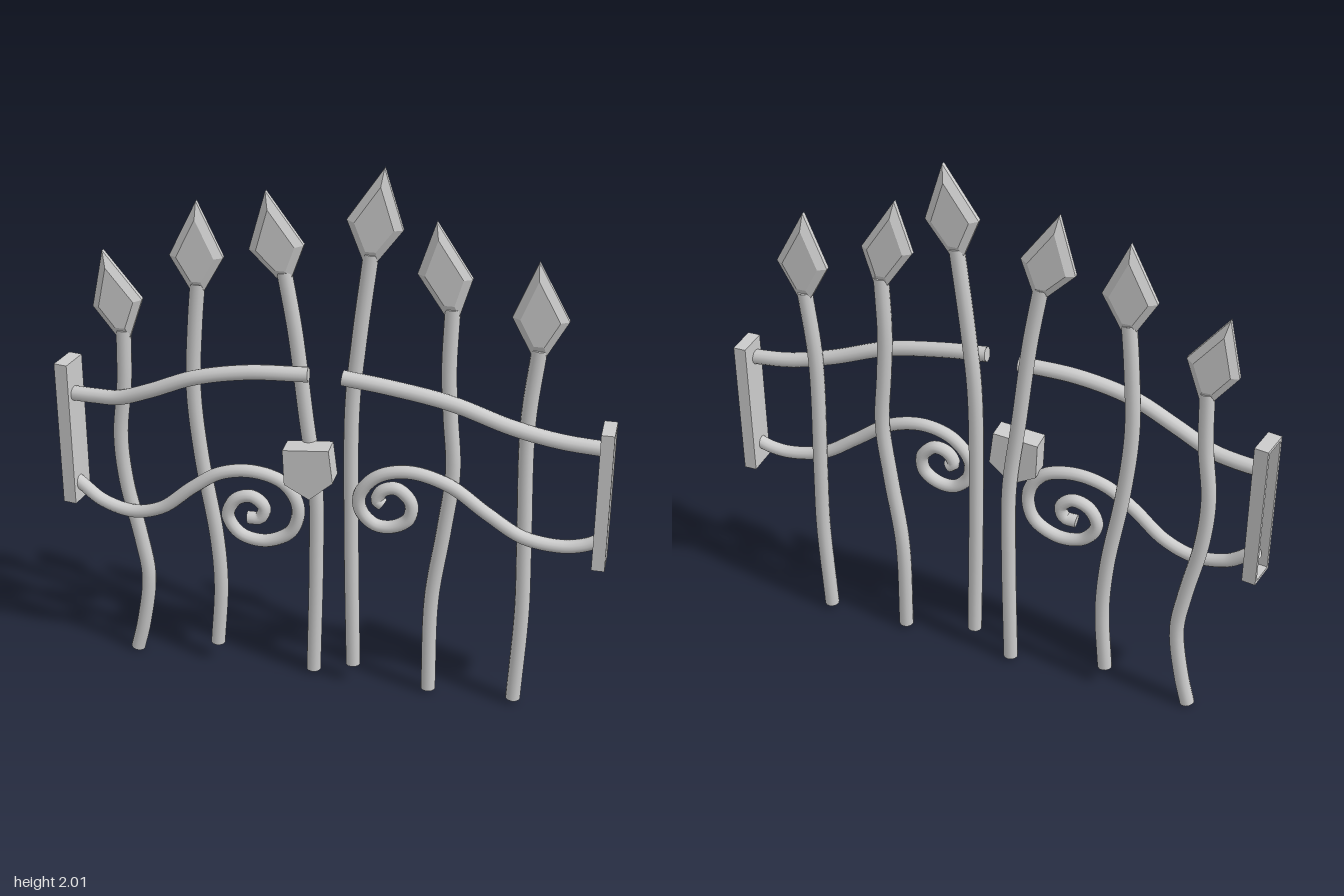
import * as THREE from 'three';
import { mergeGeometries } from 'three/addons/utils/BufferGeometryUtils.js';
import { ConvexGeometry } from 'three/addons/geometries/ConvexGeometry.js';

const metal = new THREE.MeshStandardMaterial({ color: 0xcccccc });
const flatMetal = new THREE.MeshStandardMaterial({ color: 0xcccccc, flatShading: true });

function addMesh(parent, name, geometry, material = metal) {
  const mesh = new THREE.Mesh(geometry, material);
  mesh.name = name;
  parent.add(mesh);
  return mesh;
}

// Round rod swept along points, closed with a disc at each end
function rod(points, radius, segments) {
  const curve = new THREE.CatmullRomCurve3(points.map(p => new THREE.Vector3(...p)));
  const parts = [new THREE.TubeGeometry(curve, segments, radius, 12)];
  for (const t of [0, 1]) {
    const dir = curve.getTangentAt(t).multiplyScalar(t ? 1 : -1);
    const cap = new THREE.CircleGeometry(radius, 12);
    cap.applyQuaternion(new THREE.Quaternion().setFromUnitVectors(new THREE.Vector3(0, 0, 1), dir));
    const p = curve.getPointAt(t);
    parts.push(cap.translate(p.x, p.y, p.z));
  }
  return mergeGeometries(parts);
}

// Bevelled diamond blade: outline corners plus smaller front and back faces
function spearhead(tip, right, base, left, z) {
  const outline = [tip, right, [base[0] + 0.025, base[1]], [base[0] - 0.025, base[1]], left];
  const cx = (right[0] + left[0]) / 2, cy = (right[1] + left[1]) / 2;
  const points = [];
  for (const [dz, s] of [[-0.026, 0.7], [-0.008, 1], [0.008, 1], [0.026, 0.7]]) {
    for (const [x, y] of outline) {
      points.push(new THREE.Vector3(cx + (x - cx) * s, cy + (y - cy) * s, z + dz));
    }
  }
  return new ConvexGeometry(points);
}

// Shallow tray, its open side facing local +x
function hingePost(height, depth, width) {
  const wall = 0.012;
  const group = new THREE.Group();
  const box = (name, w, h, d, x, y, z) =>
    addMesh(group, name, new THREE.BoxGeometry(w, h, d).translate(x, y, z), flatMetal);
  box('postPlate', wall, height, depth, (wall - width) / 2, 0, 0);
  for (const s of [-1, 1]) {
    box('postSideWall', width, height, wall, 0, 0, s * (depth - wall) / 2);
    box('postEndWall', width, wall, depth - 2 * wall, 0, s * (height - wall) / 2, 0);
  }
  return group;
}

export function createModel() {
  const gate = new THREE.Group();
  gate.name = 'gate';

  // Wavy upright bars (x, y), each with its spearhead corners
  const bars = [
    { path: [[-0.76, 0], [-0.73, 0.12], [-0.70, 0.33], [-0.72, 0.49], [-0.765, 0.73], [-0.775, 0.92], [-0.75, 1.13], [-0.74, 1.34]],
      head: [[-0.80, 1.63], [-0.665, 1.46], [-0.74, 1.315], [-0.845, 1.42]], zBottom: -0.045 },
    { path: [[-0.44, 0.07], [-0.42, 0.33], [-0.43, 0.54], [-0.475, 0.86], [-0.495, 1.13], [-0.48, 1.39], [-0.465, 1.54]],
      head: [[-0.46, 1.835], [-0.37, 1.64], [-0.465, 1.515], [-0.56, 1.635]], zBottom: -0.045 },
    { path: [[-0.07, 0.005], [-0.057, 0.49], [-0.057, 0.78], [-0.09, 1.07], [-0.125, 1.39], [-0.16, 1.61]],
      head: [[-0.22, 1.89], [-0.09, 1.71], [-0.16, 1.585], [-0.28, 1.68]], zBottom: -0.045 },
    { path: [[0.087, 0.07], [0.077, 0.6], [0.077, 1.13], [0.10, 1.39], [0.137, 1.70]],
      head: [[0.18, 2], [0.245, 1.79], [0.135, 1.675], [0.055, 1.815]], zBottom: -0.015 },
    { path: [[0.37, 0.005], [0.373, 0.39], [0.41, 0.68], [0.435, 0.92], [0.42, 1.13], [0.41, 1.3], [0.415, 1.53]],
      head: [[0.355, 1.83], [0.48, 1.64], [0.415, 1.505], [0.295, 1.645]], zBottom: -0.015 },
    { path: [[0.685, 0.01], [0.70, 0.39], [0.695, 0.65], [0.685, 1.13], [0.71, 1.41]],
      head: [[0.695, 1.72], [0.805, 1.52], [0.71, 1.39], [0.615, 1.52]], zBottom: -0.015 },
  ];
  for (const { path, head, zBottom } of bars) {
    const top = path[path.length - 1][1];
    const lean = y => THREE.MathUtils.lerp(zBottom, -0.02, y / top);
    addMesh(gate, 'uprightBar', rod(path.map(([x, y]) => [x, y, lean(y)]), 0.027, 40));
    addMesh(gate, 'spearhead', spearhead(...head, -0.02), flatMetal);
  }

  // Upper rails, bowing forward in front of the bars
  addMesh(gate, 'upperRailRight', rod([[-0.955, 1.075, -0.012], [-0.85, 1.078, 0], [-0.76, 1.088, 0.015],
    [-0.63, 1.14, 0.035], [-0.47, 1.21, 0.045], [-0.28, 1.25, 0.043], [-0.065, 1.26, 0.034]], 0.027, 40));
  addMesh(gate, 'upperRailLeft', rod([[0.055, 1.265, 0.043], [0.22, 1.245, 0.042], [0.43, 1.205, 0.036],
    [0.64, 1.13, 0.022], [0.80, 1.09, 0.007], [0.95, 1.075, 0]], 0.027, 40));

  // Lower rails, ending in spiral scrolls
  const scrollRight = [[-0.955, 0.73], [-0.92, 0.705], [-0.85, 0.655], [-0.73, 0.63], [-0.615, 0.665],
    [-0.495, 0.765], [-0.39, 0.835], [-0.27, 0.855], [-0.16, 0.82], [-0.11, 0.73], [-0.135, 0.625],
    [-0.23, 0.572], [-0.325, 0.59], [-0.37, 0.66], [-0.34, 0.728], [-0.28, 0.748], [-0.235, 0.71],
    [-0.25, 0.665], [-0.295, 0.66]];
  const scrollLeft = [[0.95, 0.71], [0.90, 0.69], [0.83, 0.68], [0.695, 0.705], [0.565, 0.79], [0.43, 0.885],
    [0.29, 0.92], [0.18, 0.89], [0.115, 0.81], [0.12, 0.74], [0.17, 0.69], [0.235, 0.69], [0.29, 0.73],
    [0.295, 0.795], [0.245, 0.843], [0.195, 0.83], [0.175, 0.79], [0.195, 0.775]];
  for (const [name, path] of [['lowerRailRight', scrollRight], ['lowerRailLeft', scrollLeft]]) {
    const points = path.map(([x, y], i) => {
      const bow = 0.025 * (1 - THREE.MathUtils.smoothstep(Math.abs(x), 0.5, 0.95));
      return [x, y, -0.01 + bow + 0.012 * Math.sin(Math.PI * Math.min(i / 10, 1))];
    });
    addMesh(gate, name, rod(points, 0.024, 130));
  }

  // Five-sided lock plate on the middle bar
  const plate = new THREE.Shape([[-0.155, 0.97], [-0.15, 0.835], [-0.06, 0.785], [0.025, 0.86], [0.01, 0.985]]
    .map(p => new THREE.Vector2(...p)));
  addMesh(gate, 'lockPlate', new THREE.ExtrudeGeometry(plate, { depth: 0.08, bevelEnabled: false })
    .translate(0, 0, -0.02), flatMetal);

  // Hinge posts, hollow on the outer side
  const postLeft = hingePost(0.525, 0.113, 0.046);
  postLeft.name = 'hingePostLeft';
  postLeft.position.set(0.96, 0.883, -0.016);
  const postRight = hingePost(0.555, 0.11, 0.05);
  postRight.name = 'hingePostRight';
  postRight.position.set(-0.957, 0.922, -0.025);
  postRight.rotation.y = Math.PI - 0.17;
  gate.add(postLeft, postRight);

  return gate;
}
